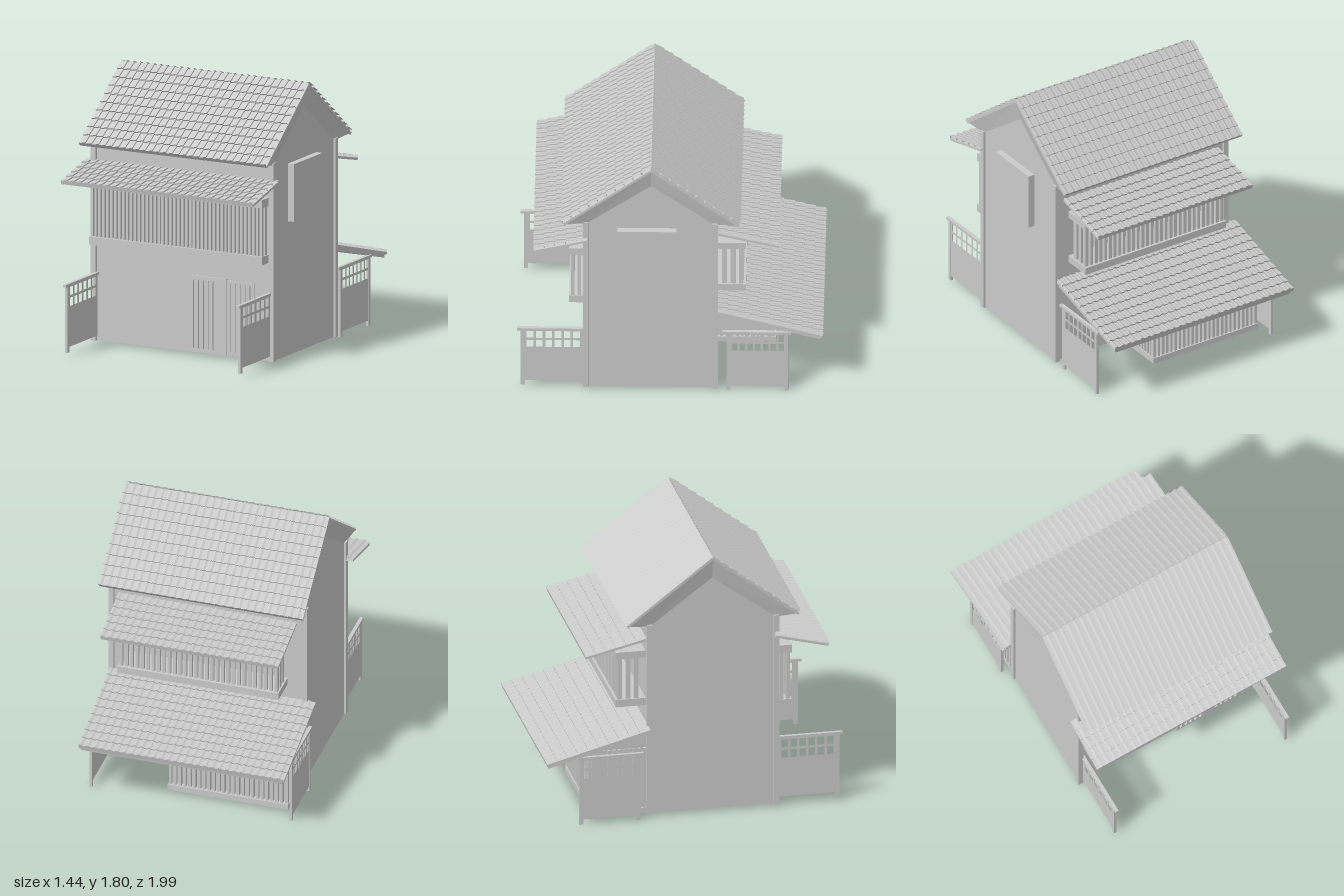
import * as THREE from 'three';

const grey = new THREE.MeshStandardMaterial({ color: 0xcccccc, flatShading: true });
const greyBoth = new THREE.MeshStandardMaterial({ color: 0xcccccc, flatShading: true, side: THREE.DoubleSide });

export function createModel() {
  const model = new THREE.Group();
  model.name = 'townhouse';

  const add = (name, geometry, parent = model, material = grey) => {
    const mesh = new THREE.Mesh(geometry, material);
    mesh.name = name;
    parent.add(mesh);
    return mesh;
  };
  const group = (name) => {
    const g = new THREE.Group();
    g.name = name;
    model.add(g);
    return g;
  };
  // Box given by its extents on each axis
  const box = (name, x0, x1, y0, y1, z0, z1, parent) => {
    const g = new THREE.BoxGeometry(x1 - x0, y1 - y0, z1 - z0);
    g.translate((x0 + x1) / 2, (y0 + y1) / 2, (z0 + z1) / 2);
    return add(name, g, parent);
  };
  const rect = (a0, a1, b0, b1) => [[a0, b0], [a1, b0], [a1, b1], [a0, b1]];
  // Side profile of [z, y] points, with holes, extruded along x
  const extrudeX = (name, points, x0, x1, parent, holes = []) => {
    const toVec = ([z, y]) => new THREE.Vector2(-z, y);
    const shape = new THREE.Shape(points.map(toVec));
    shape.holes = holes.map((h) => new THREE.Path(h.map(toVec)));
    const g = new THREE.ExtrudeGeometry(shape, { depth: x1 - x0, bevelEnabled: false });
    g.rotateY(Math.PI / 2).translate(x0, 0, 0);
    return add(name, g, parent);
  };

  // Sloping roof: a thin slab carrying stepped rows of ridged tiles
  const tileRoof = (name, x0, x1, [zT, yT], [zB, yB], cols, rows) => {
    const roof = group(name);
    const dz = zB - zT, dy = yB - yT, len = Math.hypot(dz, dy);
    const nz = (-dy / len) * Math.sign(dz), ny = Math.abs(dz) / len;
    const th = 0.016;
    extrudeX('roofBoard', [[zT, yT], [zB, yB], [zB - nz * th, yB - ny * th], [zT - nz * th, yT - ny * th]], x0, x1, roof);
    const profile = [[0, 0.001], [0.45, 0.003], [0.75, 0.01], [1, 0.01]];
    const w = (x1 - x0) / cols;
    const line = [];
    for (let c = 0; c < cols; c++) for (const [f, h] of profile) line.push([x0 + (c + f) * w, h]);
    const pos = [], index = [];
    const strip = (tA, liftA, tB, liftB, flatB) => {
      const base = pos.length / 3;
      line.forEach(([x, h], i) => {
        for (const [t, lift] of [[tA, h + liftA], [tB, flatB ? 0 : h + liftB]]) {
          pos.push(x, yT + dy * t + ny * lift, zT + dz * t + nz * lift);
        }
        if (i) {
          const k = base + i * 2;
          index.push(k - 2, k - 1, k, k, k - 1, k + 1);
        }
      });
    };
    for (let r = 0; r < rows; r++) {
      strip(r / rows, 0, (r + 1) / rows, 0.01);
      strip((r + 1) / rows, 0.01, (r + 1) / rows, 0, true);
    }
    let g = new THREE.BufferGeometry();
    g.setAttribute('position', new THREE.Float32BufferAttribute(pos, 3));
    g.setIndex(index);
    if (dz < 0) g.index.array.reverse();
    g = g.toNonIndexed();
    g.computeVertexNormals();
    add('tiles', g, roof, greyBoth);
  };

  // House body with gabled ends
  const gable = [[0.55, 0.02], [0.55, 1.34], [0.125, 1.64], [-0.29, 1.34], [-0.29, 0.02]];
  extrudeX('walls', gable, -0.65, 0.675);
  for (const x of [-0.665, 0.655]) for (const z of [0.535, -0.31]) {
    box('cornerPost', x, x + 0.035, 0.02, 1.345, z, z + 0.035);
  }

  // Flared soffit: widens from the wall heads to the roof edges
  const low = [[0.55, 1.33], [0.125, 1.64], [-0.29, 1.33]];
  const high = [[0.69, 1.352], [0.125, 1.785], [-0.44, 1.352]];
  const ring = (pts, a, b) => [a, b].map((x) => pts.map(([z, y]) => [x, y, z]));
  const [l0, l1] = ring(low, -0.65, 0.675), [h0, h1] = ring(high, -0.678, 0.708);
  const soffit = [];
  const quad = (a, b, c, d) => soffit.push(...a, ...b, ...c, ...a, ...c, ...d);
  for (let i = 0; i < 2; i++) {
    quad(l1[i], l1[i + 1], h1[i + 1], h1[i]);
    quad(l0[i + 1], l0[i], h0[i], h0[i + 1]);
  }
  quad(l0[0], l1[0], h1[0], h0[0]);
  quad(l1[2], l0[2], h0[2], h1[2]);
  const soffitGeo = new THREE.BufferGeometry();
  soffitGeo.setAttribute('position', new THREE.Float32BufferAttribute(soffit, 3));
  soffitGeo.computeVertexNormals();
  add('soffit', soffitGeo, model, greyBoth);

  // Roofs
  tileRoof('mainRoofFront', -0.68, 0.712, [0.125, 1.795], [0.7, 1.355], 28, 10);
  tileRoof('mainRoofBack', -0.68, 0.712, [0.125, 1.795], [-0.45, 1.355], 28, 10);
  tileRoof('frontBalconyRoof', -0.712, 0.712, [0.54, 1.222], [0.89, 1.135], 28, 5);
  tileRoof('rearBalconyRoof', -0.59, 0.62, [-0.3, 1.222], [-0.705, 1.125], 24, 6);
  tileRoof('rearPorchRoof', -0.72, 0.68, [-0.3, 0.632], [-0.99, 0.445], 28, 10);
  extrudeX('porchRafterBoard', [[-0.3, 0.62], [-0.98, 0.435], [-0.975, 0.41], [-0.3, 0.59]], -0.705, 0.668);

  // Evenly spaced upright bars along x or z
  const barsX = (parent, x0, x1, n, y0, y1, z, w, d) => {
    for (let i = 0; i < n; i++) {
      const x = x0 + ((x1 - x0 - w) * i) / (n - 1);
      box('bar', x, x + w, y0, y1, z, z + d, parent);
    }
  };
  const barsZ = (parent, z0, z1, n, y0, y1, x, w, d) => {
    for (let i = 0; i < n; i++) {
      const z = z0 + ((z1 - z0 - w) * i) / (n - 1);
      box('bar', x, x + d, y0, y1, z, z + w, parent);
    }
  };

  // Front balcony lattice
  const front = group('frontBalcony');
  box('bottomRail', -0.63, 0.655, 0.68, 0.735, 0.54, 0.66, front);
  box('topRail', -0.63, 0.655, 1.06, 1.115, 0.54, 0.66, front);
  barsX(front, -0.625, 0.65, 44, 0.735, 1.06, 0.628, 0.018, 0.02);
  for (const x of [-0.625, 0.63]) barsZ(front, 0.582, 0.648, 2, 0.735, 1.06, x, 0.024, 0.018);

  // Rear balcony lattice
  const rear = group('rearBalcony');
  box('bottomRail', -0.525, 0.575, 0.73, 0.78, -0.49, -0.29, rear);
  box('topRail', -0.525, 0.575, 1.065, 1.112, -0.49, -0.29, rear);
  barsX(rear, -0.515, 0.565, 30, 0.78, 1.065, -0.475, 0.022, 0.02);
  for (const x of [-0.515, 0.545]) barsZ(rear, -0.475, -0.335, 3, 0.78, 1.065, x, 0.03, 0.02);

  // Rear ground floor room with lattice walls under the porch roof
  const room = group('rearRoom');
  extrudeX('innerWalls', [[-0.28, 0.02], [-0.28, 0.6], [-0.645, 0.5], [-0.645, 0.02]], -0.635, 0.15, room);
  box('sill', -0.65, 0.17, 0.02, 0.06, -0.68, -0.28, room);
  box('backHeader', -0.65, 0.17, 0.45, 0.495, -0.68, -0.64, room);
  extrudeX('sideHeader', [[-0.3, 0.6], [-0.67, 0.5], [-0.67, 0.46], [-0.3, 0.56]], 0.14, 0.17, room);
  barsX(room, -0.645, 0.165, 25, 0.06, 0.46, -0.672, 0.018, 0.03);
  for (const x of [-0.648, 0.148]) barsZ(room, -0.67, -0.315, 11, 0.06, 0.48, x, 0.018, 0.018);

  // Fences: solid panel with two rows of small openings near the top
  const fence = (name, x, z0, z1, yBase, feet, yFoot, top, cols) => {
    const f = group(name);
    const holes = [];
    const a = z0 + 0.03, pitch = (z1 - z0 - 0.05) / cols;
    for (let c = 0; c < cols; c++) for (const [y, h] of [[top - 0.152, 0.055], [top - 0.08, 0.055]]) {
      holes.push(rect(a + c * pitch, a + (c + 0.72) * pitch, y, y + h));
    }
    extrudeX('panel', rect(z0, z1, yBase, top - 0.015), x - 0.006, x + 0.006, f, holes);
    for (const z of feet) box('post', x - 0.009, x + 0.009, yFoot, top - 0.015, z, z + 0.027, f);
    box('cap', x - 0.012, x + 0.012, top - 0.018, top, z0 - 0.015, z1 + 0.025, f);
  };
  for (const x of [-0.625, 0.66]) fence('frontFence', x, 0.56, 0.973, 0.055, [0.948], 0.02, 0.478, 6);
  for (const x of [-0.697, 0.668]) fence('rearFence', x, -0.77, -0.365, 0.035, [-0.77, -0.392], 0, 0.47, 7);

  // Side window: outer frame, thin inner frame and pane
  const win = group('sideWindow');
  extrudeX('outerFrame', rect(-0.04, 0.345, 0.915, 1.3), 0.66, 0.72, win, [rect(-0.015, 0.32, 0.94, 1.275)]);
  extrudeX('innerFrame', rect(-0.015, 0.32, 0.94, 1.275), 0.66, 0.695, win, [rect(-0.002, 0.307, 0.953, 1.255)]);
  box('pane', 0.66, 0.68, 0.94, 1.275, -0.015, 0.32, win);

  // Sliding doors: panels with tall rounded slots
  const door = (name, x0, x1, top, z, first, n, pitch) => {
    const shape = new THREE.Shape(rect(x0, x1, 0.025, top).map((p) => new THREE.Vector2(...p)));
    for (let i = 0; i < n; i++) {
      const cx = first + i * pitch, r = 0.011;
      const slot = new THREE.Path();
      slot.absarc(cx, 0.5, r, 0, Math.PI);
      slot.absarc(cx, 0.055, r, Math.PI, Math.PI * 2);
      shape.holes.push(slot);
    }
    const g = new THREE.ExtrudeGeometry(shape, { depth: 0.012, bevelEnabled: false, curveSegments: 5 });
    add(name, g.translate(0, 0, z));
  };
  door('leftDoor', 0.075, 0.34, 0.535, 0.555, 0.105, 5, 0.036);
  door('rightDoor', 0.315, 0.54, 0.525, 0.546, 0.375, 5, 0.036);

  return model;
}
